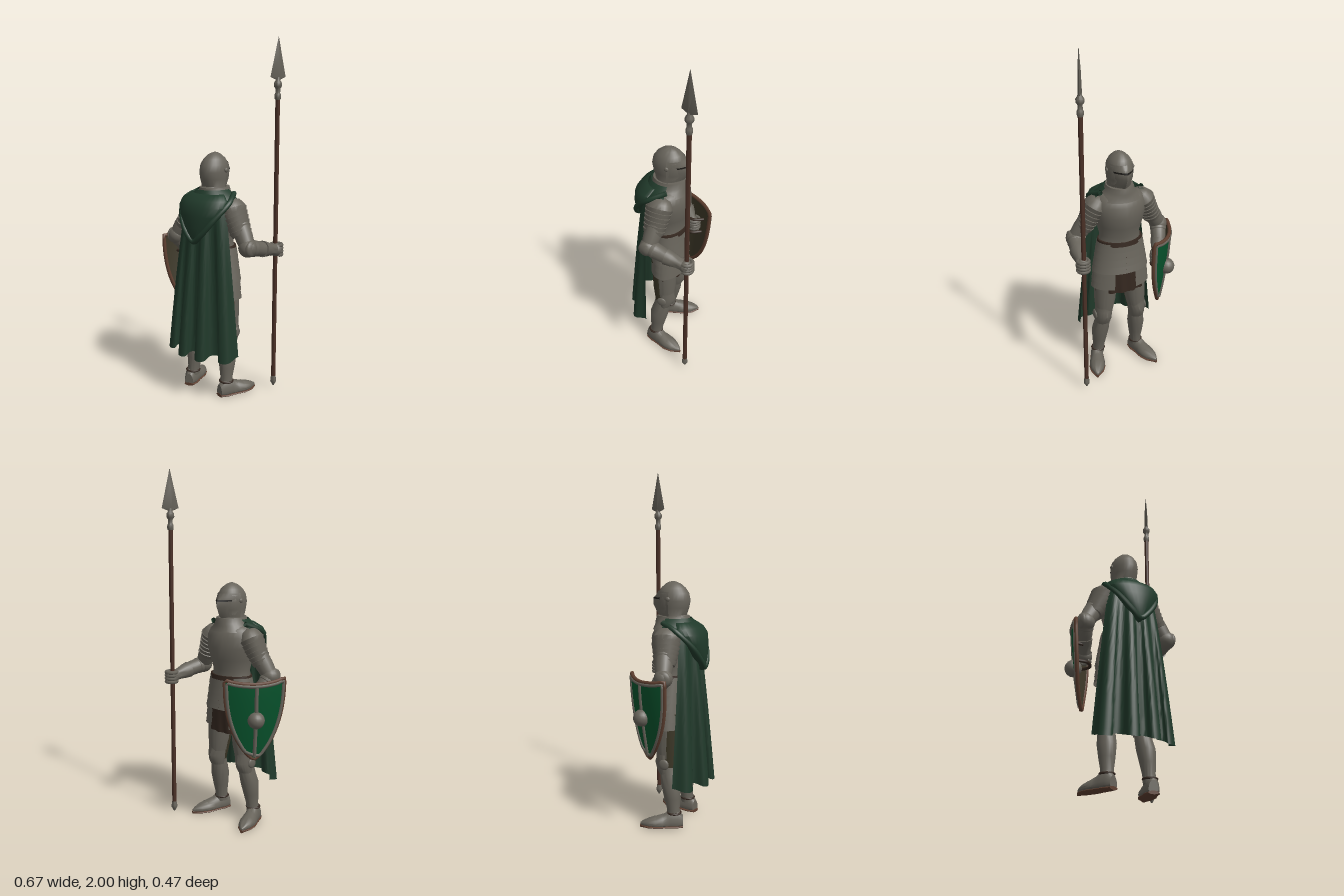
import * as THREE from 'three';
import { toCreasedNormals } from 'three/addons/utils/BufferGeometryUtils.js';

const paint = (name, color, side = THREE.DoubleSide) => {
  const m = new THREE.MeshStandardMaterial({ color, side });
  m.name = name;
  return m;
};
const V = (x, y, z) => new THREE.Vector3(x, y, z);

// Grid surface from f(u, v), both 0..1
function surface(nu, nv, f, crease = 0.7) {
  const pos = [], idx = [], w = nu + 1;
  for (let j = 0; j <= nv; j++) for (let i = 0; i <= nu; i++) pos.push(...f(i / nu, j / nv));
  for (let j = 0; j < nv; j++) for (let i = 0; i < nu; i++) {
    const a = j * w + i;
    idx.push(a, a + w, a + 1, a + 1, a + w, a + w + 1);
  }
  const g = new THREE.BufferGeometry();
  g.setAttribute('position', new THREE.Float32BufferAttribute(pos, 3));
  g.setIndex(idx);
  return toCreasedNormals(g, crease);
}

// Cross-sections going up: [y, cx, cz, halfWidth, toFront, toBack, keel]; angles run from the front (-z)
function loft(rings, { n = 28, from = 0, to = 360 } = {}) {
  let r = rings;
  if (to - from === 360) {
    const cap = ([y, cx, cz]) => [y, cx, cz, 0, 0, 0, 0];
    r = [cap(r[0]), ...r, cap(r[r.length - 1])];
  }
  return surface(n, r.length - 1, (u, v) => {
    const [y, cx, cz, rx, rf, rb, keel = 0] = r[Math.round(v * (r.length - 1))];
    const a = THREE.MathUtils.degToRad(from + (to - from) * u);
    let s = Math.sin(a), c = Math.cos(a);
    if (c > 0) {
      const k = 1 - keel + keel / (Math.abs(s) + c);
      s *= k; c *= k;
    }
    return [cx + rx * s, y, cz - c * (c > 0 ? rf : rb)];
  });
}

export function createModel() {
  const model = new THREE.Group();
  model.name = 'spearman';
  const steel = paint('steel', 0x67635a), dark = paint('dark slit', 0x1c1a17);
  const green = paint('cape green', 0x20392a), shieldGreen = paint('shield green', 0x07522c);
  const wood = paint('spear wood', 0x4a3026), rimBrown = paint('rim leather', 0x5e3f30);
  const cloth = paint('olive cloth', 0x3c3727), leather = paint('dark leather', 0x352820);

  const add = (name, geo, mat, parent = model) => {
    const m = new THREE.Mesh(geo, mat);
    m.name = name;
    parent.add(m);
    return m;
  };
  // Round limb from a to b, profile of [t, radius]
  const limb = (name, a, b, prof, mat, parent, depth = 1) => {
    const d = b.clone().sub(a), len = d.length();
    const m = add(name, loft(prof.map(([t, r]) => [t * len, 0, 0, r, r * depth, r * depth]), { n: 20 }), mat, parent);
    m.position.copy(a);
    m.quaternion.setFromUnitVectors(V(0, 1, 0), d.normalize());
    return m;
  };
  const tube = (name, pts, r, mat, parent, closed = false) =>
    add(name, new THREE.TubeGeometry(new THREE.CatmullRomCurve3(pts, closed), 60, r, 8, closed), mat, parent);
  const ball = (name, p, r, mat, parent, sx = 1, sy = 1, sz = 1) => {
    const m = add(name, new THREE.SphereGeometry(r, 18, 12), mat, parent);
    m.position.copy(p);
    m.scale.set(sx, sy, sz);
    return m;
  };

  // Helmet with ridged visor
  add('helmet', loft([
    [1.165, 0, 0, 0.078, 0.095, 0.1, 0.3], [1.2, 0, 0, 0.068, 0.08, 0.078, 0.4], [1.24, 0, 0, 0.072, 0.085, 0.092],
    [1.28, 0, 0, 0.075, 0.09, 0.1], [1.32, 0, 0, 0.071, 0.084, 0.092], [1.35, 0, 0, 0.055, 0.066, 0.072],
    [1.372, 0, 0, 0.033, 0.042, 0.045], [1.382, 0, 0, 0.014, 0.022, 0.022], [1.386, 0, 0, 0.004, 0.008, 0.008]]), steel);
  add('visor', loft([
    [1.185, 0, 0, 0.07, 0.078, 0, 0.5], [1.215, 0, 0, 0.074, 0.098, 0, 0.6], [1.255, 0, 0, 0.079, 0.118, 0, 0.6],
    [1.285, 0, 0, 0.08, 0.118, 0, 0.5], [1.31, 0, 0, 0.077, 0.1, 0, 0.3], [1.33, 0, 0, 0.069, 0.086, 0, 0.1]],
    { from: -88, to: 88 }), steel);
  add('eyeSlit', loft([[1.287, 0, 0, 0.082, 0.12, 0, 0.5], [1.296, 0, 0, 0.081, 0.114, 0, 0.42]], { from: -55, to: 55 }), dark);
  for (const s of [-1, 1]) ball('visorPivot', V(s * 0.077, 1.29, -0.005), 0.013, steel, model, 0.6);

  // Gorget, breastplate, belt
  add('gorget', loft([[1.12, 0, -0.005, 0.125, 0.105, 0.1], [1.15, 0, 0, 0.1, 0.1, 0.1], [1.165, 0, 0, 0.085, 0.1, 0.1],
    [1.195, 0, 0, 0.077, 0.092, 0.095]]), steel);
  add('breastplate', loft([
    [0.86, 0, 0, 0.125, 0.092, 0.085, 0.15], [0.9, 0, 0, 0.12, 0.092, 0.085, 0.2], [0.96, 0, 0, 0.136, 0.112, 0.09, 0.2],
    [1.03, 0, 0, 0.152, 0.122, 0.095, 0.15], [1.09, 0, 0, 0.155, 0.115, 0.095, 0.1], [1.13, 0, 0, 0.132, 0.095, 0.09],
    [1.15, 0, 0, 0.1, 0.08, 0.085]]), steel);
  add('belt', loft([[0.845, 0, 0, 0.136, 0.1, 0.094], [0.87, 0, 0, 0.132, 0.097, 0.092]]), leather);

  // Fauld lames, hip plates and cloth below
  for (let i = 0; i < 4; i++) {
    const y = 0.81 - i * 0.045, w = 0.14 + i * 0.008;
    add('fauldLame', loft([[y, 0, 0, w + 0.006, 0.104 + i * 0.002, 0.1], [y + 0.05, 0, 0, w - 0.004, 0.097, 0.094]],
      { from: 0, to: 359.9 }), steel);
  }
  add('skirtCloth', surface(60, 4, (u, v) => {
    const a = u * Math.PI * 2, r = 1 + 0.06 * v * Math.sin(a * 14);
    return [0.15 * r * Math.sin(a), 0.7 - 0.16 * v, -0.092 * r * Math.cos(a)];
  }), leather);
  for (const s of [-1, 1]) for (let i = 0; i < 3; i++) {
    const y = 0.66 - i * 0.045, w = 0.162 + i * 0.004;
    add('hipPlate', loft([[y, 0, 0, w + 0.006, 0.106, 0.102], [y + 0.05, 0, 0, w - 0.003, 0.1, 0.097]],
      { from: 22, to: 165 }), steel).scale.x = s;
  }

  // Legs and pointed shoes, mirrored
  for (const s of [-1, 1]) {
    const leg = new THREE.Group();
    leg.name = s > 0 ? 'leftLeg' : 'rightLeg';
    leg.scale.x = s;
    model.add(leg);
    add('thigh', loft([[0.34, 0.105, 0.005, 0.042, 0.045, 0.05], [0.45, 0.095, 0.01, 0.058, 0.06, 0.06],
      [0.66, 0.08, 0.01, 0.07, 0.075, 0.075]]), cloth, leg);
    add('thighPlate', loft([[0.4, 0.1, 0, 0.052, 0.058, 0.05], [0.47, 0.095, 0, 0.063, 0.066, 0.055],
      [0.58, 0.088, 0.005, 0.07, 0.075, 0.06]], { from: -105, to: 105 }), steel, leg);
    add('kneePlate', loft([[0.31, 0.108, 0, 0.044, 0.042, 0.02], [0.335, 0.107, 0, 0.049, 0.056, 0.02],
      [0.37, 0.106, -0.002, 0.055, 0.068, 0.02, 0.3], [0.4, 0.104, 0, 0.054, 0.06, 0.02], [0.425, 0.102, 0, 0.055, 0.06, 0.02]],
      { from: -110, to: 110 }), steel, leg);
    ball('kneeWing', V(0.158, 0.37, 0.0), 0.03, steel, leg, 0.35, 1, 1);
    add('greave', loft([[0.06, 0.125, 0.05, 0.036, 0.04, 0.038], [0.11, 0.122, 0.045, 0.034, 0.038, 0.036],
      [0.17, 0.12, 0.038, 0.043, 0.047, 0.046], [0.24, 0.116, 0.025, 0.05, 0.052, 0.06],
      [0.3, 0.11, 0.01, 0.045, 0.046, 0.056], [0.35, 0.107, 0.005, 0.042, 0.044, 0.048]]), steel, leg);
    // Shoe lofted forward: local -z is down, +z is up
    const shoe = new THREE.Group();
    shoe.name = 'shoe';
    shoe.position.set(0.118, 0.022, 0.09);
    shoe.rotation.y = -0.33;
    leg.add(shoe);
    add('shoePlates', loft([[-0.01, 0, 0, 0.026, 0.01, 0.05], [0.02, 0, 0, 0.038, 0.012, 0.085], [0.06, 0, 0, 0.038, 0.012, 0.08],
      [0.075, 0, 0, 0.041, 0.012, 0.07], [0.1, 0, 0, 0.043, 0.012, 0.054], [0.105, 0, 0, 0.046, 0.012, 0.054],
      [0.14, 0, 0, 0.046, 0.012, 0.042], [0.145, 0, 0, 0.047, 0.012, 0.042], [0.185, 0, 0, 0.037, 0.012, 0.03],
      [0.215, 0, 0, 0.02, 0.011, 0.017], [0.232, 0, 0, 0.006, 0.008, 0.006]]), steel, shoe).rotation.x = -Math.PI / 2;
    add('sole', loft([[-0.012, 0, -0.012, 0.028, 0.01, 0.008], [0.03, 0, -0.012, 0.041, 0.01, 0.008],
      [0.075, 0, -0.012, 0.041, 0.01, 0.008], [0.14, 0, -0.012, 0.049, 0.01, 0.008], [0.19, 0, -0.012, 0.038, 0.01, 0.008],
      [0.234, 0, -0.012, 0.007, 0.01, 0.008]]), rimBrown, shoe).rotation.x = -Math.PI / 2;
    const strap = add('ankleStrap', new THREE.TorusGeometry(0.037, 0.006, 8, 24), leather, leg);
    strap.position.set(0.125, 0.085, 0.05);
    strap.rotation.x = Math.PI / 2;
  }

  // Arms: layered shoulder lames, elbow cup, forearm, gauntlet
  const arm = (name, s, elbow, wrist, hand) => {
    const g = new THREE.Group();
    g.name = name;
    model.add(g);
    const shoulder = V(s * 0.12, 1.115, 0.01), low = V(s * 0.212, 0.94, 0.025);
    const lames = [[-0.1, 0.02], [-0.03, 0.046], [0.08, 0.058], [0.2, 0.066]];
    for (let i = 0; i < 6; i++) lames.push([0.2 + i * 0.13, 0.07 - i * 0.003], [0.32 + i * 0.13, 0.062 - i * 0.003]);
    limb('shoulderLames', shoulder, low, lames, steel, g, 1.2);
    limb('upperArm', V(s * 0.17, 1.03, 0.01), elbow, [[0, 0.05], [0.6, 0.05], [1, 0.042]], steel, g);
    ball('elbowCup', elbow, 0.052, steel, g);
    ball('elbowWing', elbow.clone().add(V(s * 0.025, 0, 0.005)), 0.045, steel, g, 0.5, 1, 1);
    limb('forearm', elbow, wrist, [[0, 0.045], [0.25, 0.047], [0.27, 0.044], [0.5, 0.043], [1, 0.031]], steel, g);
    limb('cuff', wrist.clone().lerp(elbow, 0.35), hand, [[0, 0.046], [0.3, 0.041], [0.65, 0.032], [1, 0.034]], steel, g);
    ball('fist', hand, 0.038, steel, g, 1.05, 1, 1);
    for (let i = 0; i < 4; i++) {
      const f = add('finger', new THREE.TorusGeometry(0.03, 0.011, 6, 14, 4.6), steel, g);
      f.position.copy(hand).add(V(0, 0.027 - i * 0.018, -0.008));
      f.rotation.set(Math.PI / 2, 0, s > 0 ? 2.2 : 3.2);
    }
    return g;
  };
  arm('spearArm', 1, V(0.257, 0.885, 0.035), V(0.287, 0.85, -0.13), V(0.287, 0.838, -0.19));
  arm('shieldArm', -1, V(-0.257, 0.885, 0.035), V(-0.225, 0.77, -0.05), V(-0.2, 0.735, -0.075));

  // Spear
  const spear = new THREE.Group();
  spear.name = 'spear';
  spear.position.set(0.283, 0, -0.194);
  model.add(spear);
  limb('shaft', V(0.002, 0.05, 0), V(-0.003, 1.69, 0), [[0, 0.0125], [1, 0.0125]], wood, spear);
  limb('buttCap', V(0.002, 0.015, 0), V(0.002, 0.075, 0), [[0, 0.004], [0.4, 0.017], [0.6, 0.017], [1, 0.013]], steel, spear);
  limb('socket', V(-0.003, 1.67, 0), V(-0.003, 1.8, 0), [[0, 0.015], [0.08, 0.018], [0.2, 0.018], [0.28, 0.013], [0.45, 0.013],
    [0.55, 0.022], [0.68, 0.022], [0.8, 0.012], [1, 0.01]], steel, spear);
  const blade = add('blade', loft([[1.775, 0, 0, 0.012, 0.009, 0.009], [1.79, 0, 0, 0.05, 0.011, 0.011],
    [1.9, 0, 0, 0.024, 0.008, 0.008], [2, 0, 0, 0.001, 0.001, 0.001]], { n: 4 }), steel, spear);
  blade.position.x = -0.003;
  blade.rotation.y = 1.2;

  // Curved shield: s across -1..1, v down 0..1, off = distance outward
  const onShield = (s, v, off = 0) => {
    const w = 0.166 * Math.pow(Math.max(0, 1 - Math.pow(v, 2.4)), 0.8) * s;
    const d = 0.045 * (1 - (w / 0.166) ** 2) - 0.055 * v ** 1.5 + off;
    return V(-0.23 + 0.595 * w - 0.8 * d, 0.86 - 0.435 * v + 0.018 * s * s * (1 - v), -0.065 - 0.8 * w - 0.595 * d);
  };
  const shield = new THREE.Group();
  shield.name = 'shield';
  model.add(shield);
  add('shieldFace', surface(16, 24, (u, v) => onShield(u * 2 - 1, v, 0.006).toArray(), 1.2), shieldGreen, shield);
  add('shieldBack', surface(16, 24, (u, v) => onShield(u * 2 - 1, v, -0.006).toArray(), 1.2), cloth, shield);
  const edge = (k, off) => {
    const p = [];
    for (let i = 0; i < 8; i++) p.push(onShield(k * (i / 4 - 1), (1 - k) * 0.5, off));
    for (let i = 0; i < 16; i++) p.push(onShield(k, (1 - k) * 0.5 + i / 16 * (1.5 * k - 0.5), off));
    for (let i = 16; i > 0; i--) p.push(onShield(-k, (1 - k) * 0.5 + i / 16 * (1.5 * k - 0.5), off));
    return p;
  };
  tube('shieldRim', edge(1, 0), 0.011, rimBrown, shield, true);
  tube('shieldBand', edge(0.95, 0.006), 0.0095, steel, shield, true);
  tube('shieldRib', [0.03, 0.25, 0.5, 0.75, 0.96].map(v => onShield(0, v, 0.006)), 0.011, steel, shield);
  ball('shieldBoss', onShield(0, 0.46, 0.012), 0.047, steel, shield);
  for (const v of [0.2, 0.42])
    tube('armStrap', [onShield(-0.5, v, -0.006), onShield(-0.25, v, -0.07), onShield(0.25, v, -0.07), onShield(0.5, v, -0.006)],
      0.009, leather, shield);

  // Cape with folds that deepen toward the hem
  add('cape', surface(96, 24, (u, v) => {
    const t = u * 2 - 1, fold = -Math.cos(t * Math.PI * 2 / 0.53);
    const half = 0.135 + 0.105 * Math.pow(v, 0.75);
    const z = 0.135 + 0.07 * Math.pow(v, 0.7) - (0.055 + 0.05 * v) * t * t + fold * (0.004 + 0.03 * v);
    const x = half * t + 0.012 * v * Math.sin(t * Math.PI * 4 / 0.53);
    return [x, 1.12 - v * (0.865 + 0.012 * fold), z];
  }, 1.2), green);

  // Mantle over the shoulders and the hanging hood
  add('mantle', loft([[1.02, 0, 0, 0.162, 0.1, 0.14], [1.08, 0, 0, 0.168, 0.11, 0.15], [1.13, 0, 0, 0.155, 0.1, 0.145],
    [1.16, 0, 0, 0.125, 0.1, 0.125], [1.185, 0, 0, 0.09, 0.1, 0.107]], { from: 82, to: 278 }), green);
  add('hood', loft([[0.895, 0, 0.175, 0.008, 0.02, 0.012], [0.93, 0, 0.165, 0.04, 0.03, 0.03], [0.99, 0, 0.15, 0.088, 0.03, 0.05],
    [1.05, 0, 0.13, 0.128, 0.03, 0.068], [1.1, 0, 0.1, 0.155, 0.03, 0.092], [1.135, 0, 0.08, 0.148, 0.03, 0.088],
    [1.165, 0, 0.06, 0.11, 0.03, 0.062]]), green);
  tube('hoodRoll', [V(-0.12, 1.165, -0.02), V(-0.155, 1.12, 0.075), V(-0.11, 1.03, 0.155), V(-0.05, 0.95, 0.185), V(0, 0.91, 0.186),
    V(0.05, 0.95, 0.185), V(0.11, 1.03, 0.155), V(0.155, 1.12, 0.075), V(0.12, 1.165, -0.02)], 0.015, green);
  return model;
}
